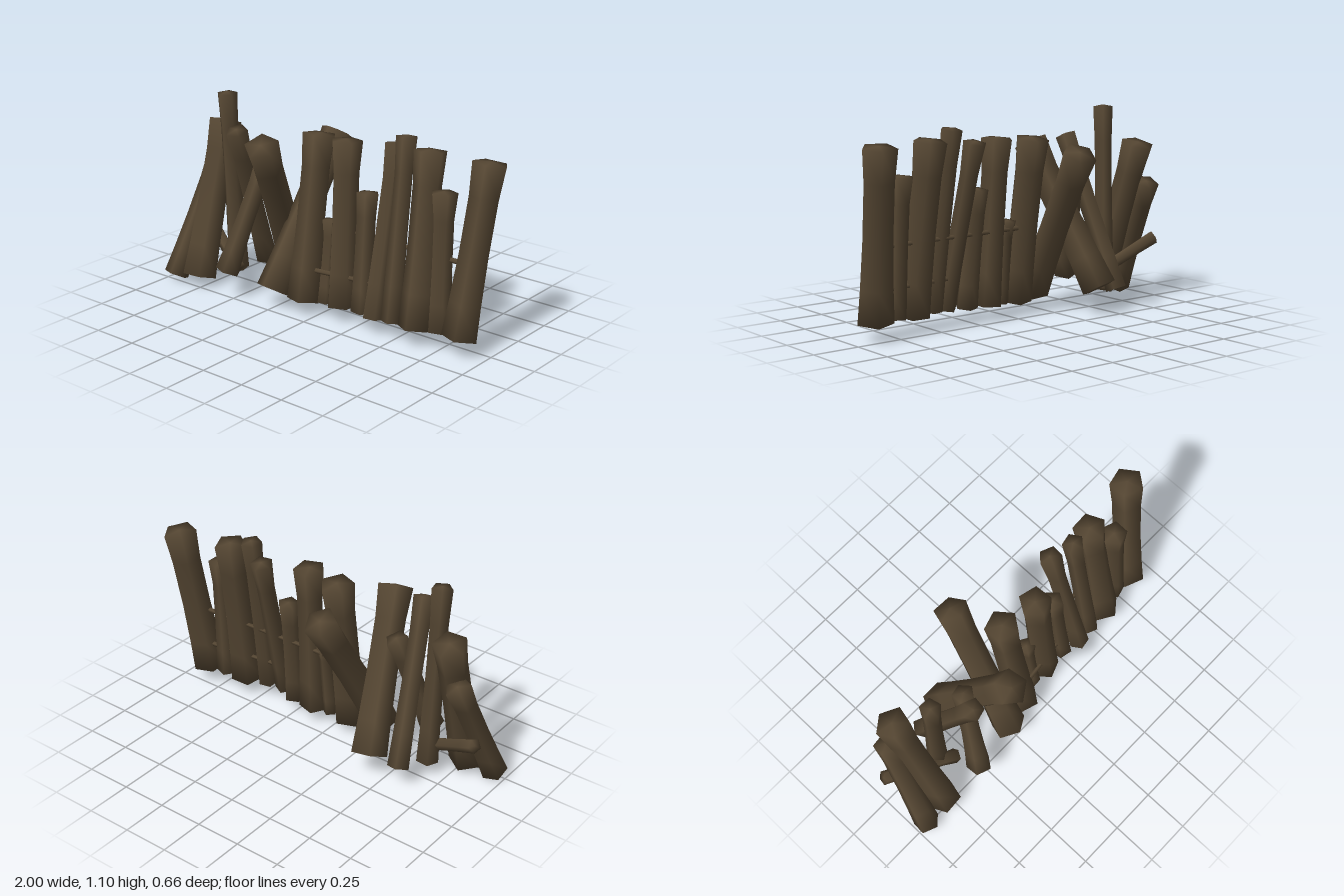
import * as THREE from 'three';

const UP = new THREE.Vector3(0, 1, 0);

// Five-sided log between two end centres, flared at both ends, smooth over the caps
function makeLog(name, bottom, top, rBottom, rTop, waist, phase, material) {
  const a = new THREE.Vector3(...bottom);
  const axis = new THREE.Vector3(...top).sub(a);
  const len = axis.length();
  const mid = Math.min(rBottom, rTop) * waist;
  const profile = [
    [0, 0],
    [rBottom, 0],
    [mid * 0.55 + rBottom * 0.45, 0.2],
    [mid, 0.48],
    [mid, 0.8],
    [rTop, 0.99],
    [0, 1],
  ].map(([r, t]) => new THREE.Vector2(r, t * len));
  const mesh = new THREE.Mesh(new THREE.LatheGeometry(profile, 5, phase), material);
  mesh.name = name;
  mesh.position.copy(a);
  mesh.quaternion.setFromUnitVectors(UP, axis.normalize());
  return mesh;
}

export function createModel() {
  const group = new THREE.Group();
  group.name = 'logPalisade';
  const bark = new THREE.MeshStandardMaterial({ color: 0x564733 });
  bark.name = 'dark brown bark';

  // Upright and leaning logs: bottom centre, top centre, bottom radius, top radius, phase
  const logs = [
    [[-0.935, 0.032, 0.245], [-0.87, 0.675, -0.06], 0.072, 0.07, 0.2],
    [[-0.78, 0.057, 0.22], [-0.81, 0.895, -0.055], 0.095, 0.092, 0.7],
    [[-0.65, 0.085, 0.045], [-0.667, 1.1, 0.085], 0.06, 0.056, 1.2],
    [[-0.59, 0.11, -0.125], [-0.497, 0.945, 0.2], 0.061, 0.06, 0.9],
    [[-0.535, 0.15, 0.25], [-0.427, 0.735, 0.05], 0.07, 0.061, 0.3],
    [[-0.425, 0.14, -0.16], [-0.28, 0.91, 0.25], 0.098, 0.095, 0],
    [[-0.255, 0.1, 0.2], [-0.19, 0.895, -0.27], 0.097, 0.092, 0],
    [[-0.085, 0.072, 0.14], [-0.09, 0.96, 0], 0.094, 0.092, 0.31],
    [[0.03, 0.075, 0.11], [0.03, 0.525, 0.055], 0.042, 0.05, 0.7],
    [[0.13, 0.082, 0.1], [0.11, 0.97, 0.035], 0.083, 0.086, 1.0],
    [[0.27, 0.082, 0.1], [0.25, 0.715, 0.03], 0.061, 0.061, 0.4],
    [[0.37, 0.085, 0.14], [0.34, 0.97, -0.08], 0.057, 0.062, 0.8],
    [[0.475, 0.09, 0.12], [0.45, 1.04, -0.025], 0.056, 0.058, 0.2],
    [[0.61, 0.088, 0.1], [0.585, 0.99, -0.035], 0.093, 0.088, 1.3],
    [[0.73, 0.095, 0.07], [0.715, 0.815, 0.03], 0.063, 0.07, 0.9],
    [[0.86, 0.093, 0.065], [0.913, 0.98, -0.075], 0.098, 0.092, 0.25],
  ];
  logs.forEach(([b, t, rb, rt, phase], i) =>
    group.add(makeLog(`log${i + 1}`, b, t, rb, rt, 0.87, phase, bark)));

  // Fallen brace across the leaning end
  group.add(makeLog('brace', [-0.965, 0.345, -0.02], [-0.575, 0.12, 0.12], 0.039, 0.042, 0.88, 0.3, bark));

  // Thin rails running through the upright logs
  group.add(makeLog('upperRail', [-0.02, 0.48, 0.035], [0.83, 0.47, 0.03], 0.014, 0.014, 0.85, 0, bark));
  group.add(makeLog('lowerRail', [-0.015, 0.25, 0.13], [0.83, 0.255, 0.03], 0.014, 0.014, 0.85, 0, bark));

  return group;
}
